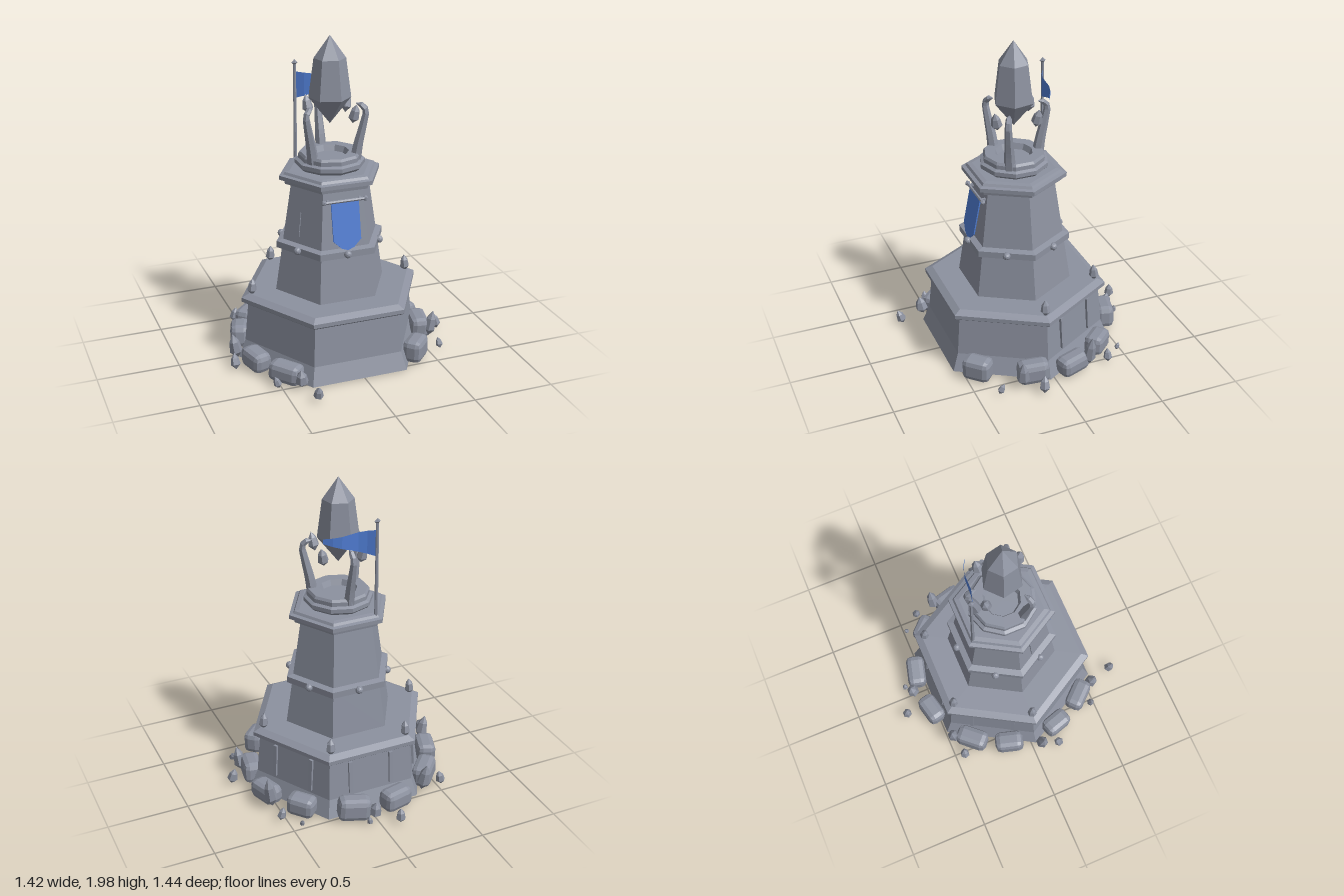
import * as THREE from 'three';
import { RoundedBoxGeometry } from 'three/addons/geometries/RoundedBoxGeometry.js';

const stone = new THREE.MeshStandardMaterial({ name: 'stone', color: 0x8c919f, flatShading: true, side: THREE.DoubleSide });
const cloth = new THREE.MeshStandardMaterial({ name: 'blue cloth', color: 0x4f7cd2, flatShading: true, side: THREE.DoubleSide });

const v2 = ([x, y]) => new THREE.Vector2(x, y);

function add(parent, name, geometry, material = stone, pos = [0, 0, 0], rot = [0, 0, 0]) {
  const mesh = new THREE.Mesh(geometry, material);
  mesh.name = name;
  mesh.position.set(...pos);
  mesh.rotation.set(...rot);
  parent.add(mesh);
  return mesh;
}

// Faceted turned form; hexagons have a flat side towards the front
const turned = (profile, sides = 6, start = Math.PI / 6) =>
  new THREE.LatheGeometry(profile.map(v2), sides, start);

// Pointed six-sided crystal standing on its own origin
const crystal = (r, h) => turned([[0, 0], [r, h * 0.3], [r * 0.75, h * 0.7], [0, h]]);

// Claw arm: tube thinned towards its tip
function clawGeometry() {
  const curve = new THREE.CatmullRomCurve3([
    [0.155, 1.26], [0.172, 1.36], [0.2, 1.48], [0.213, 1.56], [0.19, 1.59], [0.155, 1.6],
  ].map(([r, y]) => new THREE.Vector3(0, y, r)));
  const segments = 12, sides = 6;
  const geo = new THREE.TubeGeometry(curve, segments, 0.036, sides);
  const p = geo.attributes.position, v = new THREE.Vector3();
  for (let i = 0; i < p.count; i++) {
    const t = Math.floor(i / (sides + 1)) / segments;
    const c = curve.getPointAt(t);
    v.fromBufferAttribute(p, i).sub(c).multiplyScalar(t === 1 ? 0.05 : 1 - 0.55 * t).add(c);
    p.setXYZ(i, v.x, v.y, v.z);
  }
  return geo;
}

// Pennant: plane tapered to its end, with a slight wave
function pennantGeometry() {
  const geo = new THREE.PlaneGeometry(1, 1, 6, 1);
  const p = geo.attributes.position;
  for (let i = 0; i < p.count; i++) {
    const t = p.getX(i) + 0.5, side = p.getY(i);
    p.setXYZ(i, -0.135 + 0.3 * t,
      1.655 + 0.03 * t + side * (0.165 - 0.135 * t),
      -0.24 + 0.085 * t + 0.015 * Math.sin(t * Math.PI * 2));
  }
  return geo;
}

export function createModel() {
  const model = new THREE.Group();
  model.name = 'crystalTower';
  const tower = new THREE.Group();
  tower.name = 'tower';
  tower.position.set(-0.03, 0, 0.03);
  model.add(tower);

  // Something fixed to a tower face that looks along the given azimuth
  function onFace(name, geometry, azimuth, u, y, r, lean = 0, material = stone) {
    const holder = new THREE.Group();
    holder.name = name + 'Holder';
    holder.rotation.y = azimuth;
    tower.add(holder);
    return add(holder, name, geometry, material, [u, y, r], [-lean, 0, 0]);
  }

  // Hollow base and its slab
  add(tower, 'baseWall', turned([[0.6, 0.03], [0.555, 0.14], [0.53, 0.4]]));
  add(tower, 'baseSlab', turned([[0, 0.385], [0.55, 0.385], [0.572, 0.4], [0.572, 0.425], [0.525, 0.447], [0, 0.45]]));

  // Tapered shaft, band and cornice
  add(tower, 'shaft', turned([[0.352, 0.445], [0.305, 0.75], [0.243, 1.15]]));
  add(tower, 'band', turned([[0.3, 0.715], [0.343, 0.725], [0.343, 0.765], [0.3, 0.775]]));
  add(tower, 'cornice', turned([[0.24, 1.12], [0.285, 1.125], [0.29, 1.15], [0.32, 1.155], [0.32, 1.18], [0.295, 1.185], [0.285, 1.2], [0.255, 1.205], [0, 1.205]]));
  add(tower, 'dishRing', turned([[0.18, 1.2], [0.2, 1.215], [0.21, 1.225], [0.21, 1.25], [0.19, 1.26], [0.19, 1.285], [0.18, 1.3], [0.115, 1.3], [0.1, 1.265], [0, 1.265]], 10, 0));
  for (let i = 0; i < 6; i++) {
    onFace('stud', new THREE.IcosahedronGeometry(0.024, 1), i * Math.PI / 3, 0, 0.748, 0.303);
  }

  // Upright strips on the three rear base walls, and a crack in the shaft
  for (const face of [2, 3, 4]) for (const u of [-0.135, 0.135]) {
    onFace('wallStrip', new THREE.BoxGeometry(0.025, 0.21, 0.025), face * Math.PI / 3, u, 0.265, 0.472, 0.07);
  }
  onFace('crack', new THREE.BoxGeometry(0.008, 0.15, 0.008), -Math.PI / 3, -0.03, 0.89, 0.247, 0.13);

  // Hanging banner with its rod
  const banner = new THREE.Shape([[-0.087, 0], [-0.087, -0.235], [-0.04, -0.28], [0, -0.295], [0.04, -0.28], [0.087, -0.235], [0.087, 0]].map(v2));
  onFace('banner', new THREE.ExtrudeGeometry(banner, { depth: 0.008, bevelEnabled: false }), 0, 0, 1.065, 0.243, 0.19, cloth);
  add(tower, 'bannerRod', new THREE.CylinderGeometry(0.01, 0.01, 0.26, 6), stone, [0, 1.068, 0.25], [0, 0, Math.PI / 2]);
  for (const s of [-1, 1]) {
    add(tower, 'rodKnob', new THREE.IcosahedronGeometry(0.017), stone, [s * 0.13, 1.068, 0.25]);
    add(tower, 'rodBracket', new THREE.BoxGeometry(0.015, 0.015, 0.05), stone, [s * 0.1, 1.068, 0.225]);
  }

  // Flagpole and pennant
  add(tower, 'flagpole', new THREE.CylinderGeometry(0.009, 0.011, 0.6, 6), stone, [-0.135, 1.485, -0.24]);
  add(tower, 'poleFinial', new THREE.OctahedronGeometry(0.02), stone, [-0.135, 1.792, -0.24]);
  add(tower, 'pennant', pennantGeometry(), cloth);

  // Claws, great crystal and floating shards
  const claw = clawGeometry();
  for (let i = 0; i < 3; i++) add(tower, 'claw', claw, stone, [0, 0, 0], [0, Math.PI / 3 + i * Math.PI * 2 / 3, 0]);
  add(tower, 'greatCrystal', turned([[0, 1.47], [0.126, 1.63], [0.095, 1.865], [0, 2]], 6, 0.21));
  for (const [x, z] of [[-0.085, -0.127], [0.13, -0.085], [0.09, 0.135]]) {
    add(tower, 'floatingShard', crystal(0.034, 0.12), stone, [x, 1.5, z], [z * 1.5, 0, -x * 1.5]);
  }

  // Spikes on the slab corners
  for (const [x, z] of [[0.508, 0], [-0.508, 0], [0.25, -0.44], [-0.25, -0.44]]) {
    add(tower, 'slabSpike', crystal(0.03, 0.11), stone, [x, 0.435, z], [-z * 0.15, 0, x * 0.15]);
  }

  // Boulders around the foot
  const boulders = [[-0.16, -0.53], [0.12, -0.53], [0.39, -0.36], [0.53, -0.13], [0.53, 0.13],
    [0.38, 0.43], [-0.45, 0.415], [-0.57, 0.2], [-0.57, -0.14], [-0.45, -0.355]];
  boulders.forEach(([x, z], i) => {
    const w = 0.19 + 0.015 * Math.sin(i * 2.3), h = 0.13 + 0.015 * Math.sin(i * 1.7);
    add(model, 'boulder', new RoundedBoxGeometry(w, h, 0.12, 1, 0.035), stone,
      [x, 0.03 + h / 2, z], [0.1 * Math.sin(i * 3.1), Math.atan2(x + 0.03, z - 0.03), 0.08 * Math.sin(i * 5)]);
  });

  // Standing crystals between the boulders: x, z, height
  for (const [x, z, h] of [[-0.38, -0.455, 0.19], [0.01, -0.59, 0.12], [0.53, -0.23, 0.22],
    [0.565, 0.21, 0.18], [-0.39, 0.53, 0.12], [-0.645, 0.06, 0.17]]) {
    add(model, 'footCrystal', crystal(0.04, h), stone, [x, 0.04, z], [z * 0.3, 0, -x * 0.3]);
  }

  // Loose shards on the ground: x, z, size
  const shards = [[-0.115, -0.69, 0.1], [0.06, -0.635, 0.06], [0.44, -0.47, 0.05], [0.535, -0.37, 0.09],
    [-0.53, -0.44, 0.1], [-0.69, 0.18, 0.1], [-0.515, 0.48, 0.08], [-0.345, 0.68, 0.1],
    [0.58, 0.37, 0.07], [0.675, 0.115, 0.11]];
  shards.forEach(([x, z, s], i) => {
    add(model, 'looseShard', crystal(s * 0.3, s), stone, [x, 0.03, z],
      [0.3 * Math.sin(i * 2.1), i, -0.35 * Math.sign(x) * Math.abs(Math.sin(i * 1.3))]);
  });

  return model;
}
